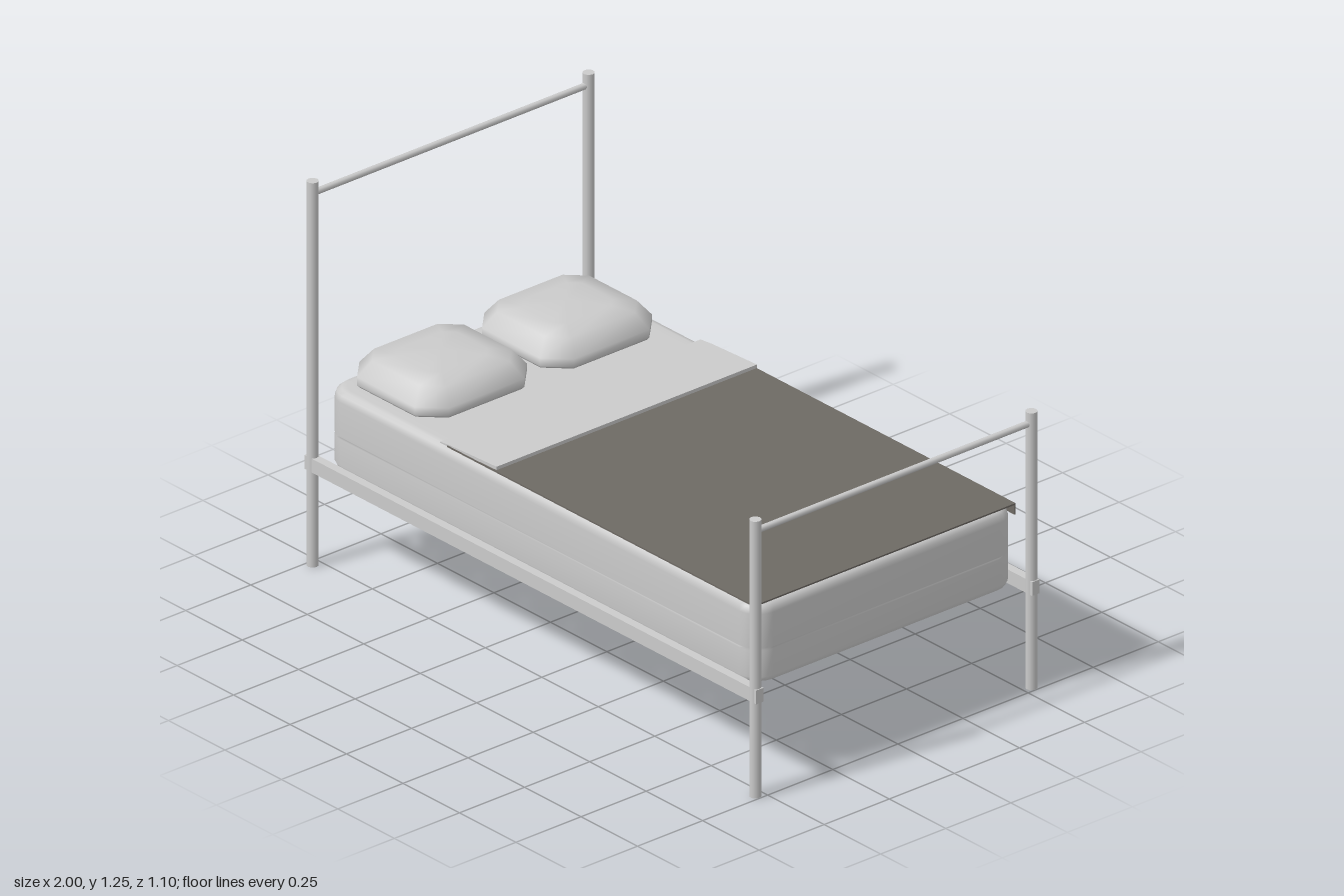
import * as THREE from 'three';

const grey = new THREE.MeshStandardMaterial({ color: 0xcccccc, side: THREE.DoubleSide });
const dark = new THREE.MeshStandardMaterial({ color: 0x6e6a64, side: THREE.DoubleSide });

// Corner-rounded rectangle outline, running so that lofted walls face outward
function outline(halfX, halfZ, radius, steps) {
  const points = [];
  [[1, 1], [1, -1], [-1, -1], [-1, 1]].forEach(([sx, sz], corner) => {
    for (let i = 0; i <= steps; i++) {
      const a = Math.PI / 2 - (corner + i / steps) * Math.PI / 2 - 0;
      const angle = a - Math.PI / 2 + Math.PI / 2;
      points.push([
        sx * (halfX - radius) + radius * Math.cos(angle),
        sz * (halfZ - radius) + radius * Math.sin(angle),
      ]);
    }
  });
  return points;
}

// Skin through [inset, y] layers, closed on top by a centre point at topY
function loft({ halfX, halfZ, radius, steps, layers, topY, bottom }) {
  const position = [], index = [];
  const count = 4 * (steps + 1);
  for (const [inset, y] of layers) {
    for (const [x, z] of outline(halfX - inset, halfZ - inset, Math.max(radius - inset * 0.4, 0.01), steps)) {
      position.push(x, y, z);
    }
  }
  const top = layers.length * count;
  position.push(0, topY, 0, 0, layers[0][1], 0);
  for (let j = 0; j < count; j++) {
    const k = (j + 1) % count;
    for (let l = 0; l < layers.length - 1; l++) {
      const a = l * count + j, b = l * count + k;
      index.push(a, b, b + count, a, b + count, a + count);
    }
    const last = top - count;
    index.push(last + j, last + k, top);
    if (bottom) index.push(k, j, top + 1);
  }
  const geometry = new THREE.BufferGeometry();
  geometry.setAttribute('position', new THREE.Float32BufferAttribute(position, 3));
  geometry.setIndex(index);
  geometry.computeVertexNormals();
  return geometry;
}

export function createModel() {
  const bed = new THREE.Group();
  bed.name = 'bed';

  const add = (name, geometry, x = 0, y = 0, z = 0, material = grey) => {
    const mesh = new THREE.Mesh(geometry, material);
    mesh.name = name;
    mesh.position.set(x, y, z);
    bed.add(mesh);
    return mesh;
  };

  // Corner posts: tall at the head, short at the foot, with a crossbar at each end
  for (const [end, x, height, barY] of [['head', -0.98, 1.25, 1.21], ['foot', 0.98, 0.9, 0.862]]) {
    for (const z of [-0.53, 0.53]) {
      add(end + 'Post', new THREE.CylinderGeometry(0.018, 0.018, height, 12), x, height / 2, z);
    }
    add(end + 'Crossbar', new THREE.CylinderGeometry(0.01, 0.01, 1.06, 10), x, barY, 0).rotation.x = Math.PI / 2;
  }

  // Side rails
  for (const z of [-0.53, 0.53]) {
    add('sideRail', new THREE.BoxGeometry(2, 0.045, 0.028), 0, 0.332, z);
  }

  // Mattress shell, open underneath, with a faint seam groove
  add('mattress', loft({
    halfX: 0.953, halfZ: 0.505, radius: 0.07, steps: 5, topY: 0.587,
    layers: [[0.006, 0.335], [0, 0.35], [0, 0.436], [0.003, 0.44], [0, 0.444],
      [0, 0.555], [0.005, 0.575], [0.016, 0.585], [0.03, 0.587], [0.06, 0.587]],
  }), -0.003);

  // Pillows, side by side
  for (const z of [-0.24, 0.24]) {
    add('pillow', loft({
      halfX: 0.198, halfZ: 0.215, radius: 0.07, steps: 1, topY: 0.7, bottom: true,
      layers: [[0.006, 0.594], [0, 0.602], [0, 0.628], [0.038, 0.677], [0.1, 0.688]],
    }), -0.742, 0, z);
  }

  // Blanket with a short drop along the back edge
  add('blanket', new THREE.BoxGeometry(1.36, 0.005, 1.004), 0.262, 0.592, 0, dark);
  add('blanketDrop', new THREE.BoxGeometry(1.14, 0.035, 0.003), 0.372, 0.575, -0.5, dark);

  // Turned-down sheet, thickening toward the fold
  const fold = new THREE.Shape([[-0.45, 0.59], [-0.2, 0.597], [-0.2, 0.608], [-0.4, 0.599], [-0.45, 0.594]]
    .map(([x, y]) => new THREE.Vector2(x, y)));
  add('foldedSheet', new THREE.ExtrudeGeometry(fold, { depth: 1, bevelEnabled: false }), 0, 0, -0.5);

  return bed;
}
